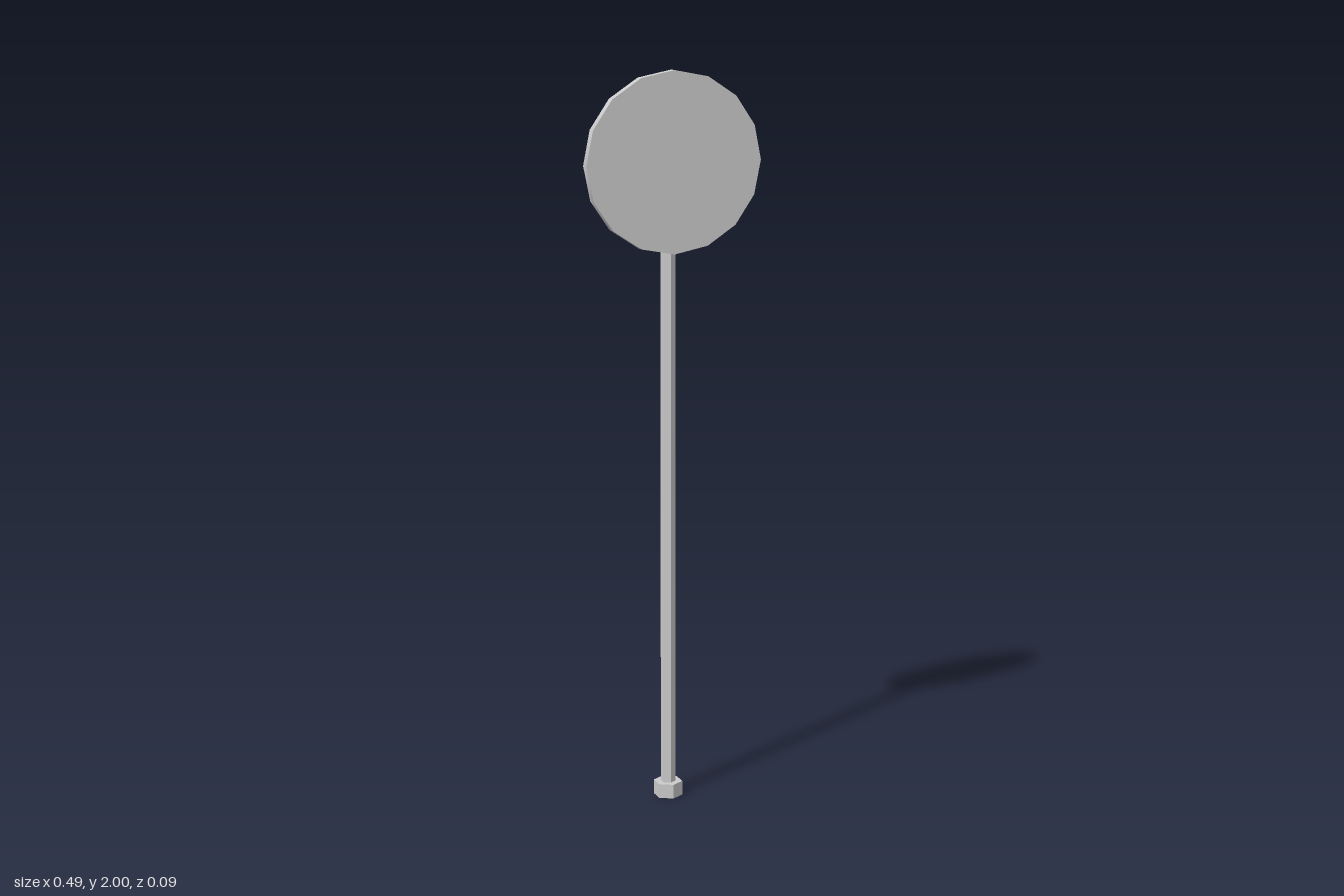
import * as THREE from 'three';
import { toCreasedNormals } from 'three/addons/utils/BufferGeometryUtils.js';

export function createModel() {
  const model = new THREE.Group();
  const smooth = new THREE.MeshStandardMaterial({ color: 0xcccccc, side: THREE.DoubleSide });
  const faceted = new THREE.MeshStandardMaterial({ color: 0xcccccc, flatShading: true });
  const axisZ = -0.005; // centre line of the post

  const add = (name, geometry, material, x, y, z) => {
    const mesh = new THREE.Mesh(geometry, material);
    mesh.name = name;
    mesh.position.set(x, y, z);
    model.add(mesh);
    return mesh;
  };

  // Hexagonal foot and post
  add('foot', new THREE.CylinderGeometry(0.04, 0.04, 0.04, 6), faceted, 0, 0.02, axisZ);
  add('post', new THREE.CylinderGeometry(0.0203, 0.0203, 1.85, 6), faceted, 0, 0.965, axisZ);

  // Round sign plate: flat front, recessed back inside a thin raised rim
  const profile = [
    [0, 0.033], [0.228, 0.033], [0.232, 0.018], [0.243, 0.018], [0.243, 0.043], [0, 0.043],
  ].map(([r, z]) => new THREE.Vector2(r, z));
  const plate = new THREE.LatheGeometry(profile, 16);
  plate.rotateX(Math.PI / 2);
  plate.scale(1.01, 0.988, 1);
  add('signPlate', toCreasedNormals(plate, 0.6), smooth, 0, 1.76, 0);

  // Clamp straps: wrap the back of the post and flare out onto the plate
  const half = [[0.11, 0.033], [0.032, 0.031], [0.0195, 0.012], [0.0195, -0.016]];
  const outer = [...half, [0, -0.0275], ...half.map(([x, z]) => [-x, z]).reverse()];
  const halfInner = [[0.0178, -0.015], [0.0178, 0.013], [0.03, 0.034], [0.11, 0.035]];
  const inner = [...halfInner.map(([x, z]) => [-x, z]).reverse(), [0, -0.0255], ...halfInner];
  const outline = new THREE.Shape([...outer, ...inner].map(([x, z]) => new THREE.Vector2(x, z)));
  const strap = new THREE.ExtrudeGeometry(outline, { depth: 0.042, bevelEnabled: false });
  strap.rotateX(Math.PI / 2); // outline lies in x-z, height runs along y
  strap.translate(0, 0.021, 0);
  const strapGeometry = toCreasedNormals(strap, 0.6);
  for (const [name, y] of [['upperStrap', 1.84], ['lowerStrap', 1.667]]) {
    add(name, strapGeometry, smooth, 0, y, 0);
  }

  return model;
}
